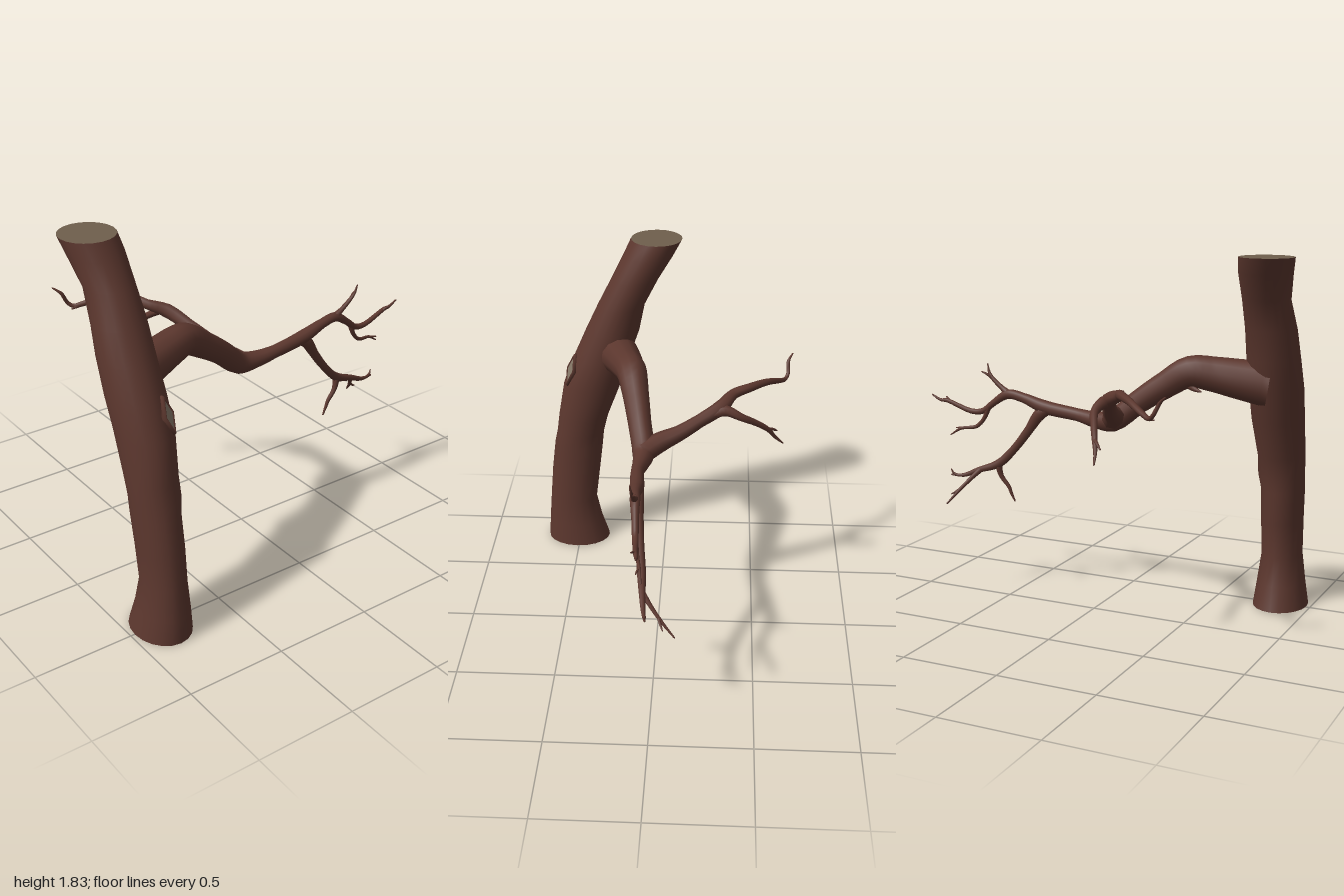
import * as THREE from 'three';

const bark = new THREE.MeshStandardMaterial({ color: 0x5c372e });
bark.name = 'bark';
const wood = new THREE.MeshStandardMaterial({ color: 0x6f5f4d });
wood.name = 'cutWood';
const knotWood = new THREE.MeshStandardMaterial({ color: 0x857767 });
knotWood.name = 'knotWood';

// Trunk sections: y, xMin, xMax, zMin, zMax
const SECTIONS = [
  [0, -0.98, -0.70, 0.33, 0.685],
  [0.12, -0.957, -0.713, 0.368, 0.677],
  [0.27, -0.935, -0.73, 0.40, 0.665],
  [0.45, -0.94, -0.728, 0.378, 0.65],
  [0.62, -0.948, -0.73, 0.358, 0.63],
  [0.70, -0.95, -0.716, 0.35, 0.613],
  [0.80, -0.955, -0.718, 0.325, 0.60],
  [1.00, -0.96, -0.70, 0.25, 0.565],
  [1.16, -0.97, -0.70, 0.20, 0.505],
  [1.32, -0.968, -0.705, 0.145, 0.435],
  [1.47, -0.963, -0.71, 0.115, 0.365],
  [1.62, -0.95, -0.718, 0.04, 0.29],
  [1.75, -0.98, -0.722, -0.04, 0.225],
  [1.83, -1.0, -0.735, -0.085, 0.187],
];
const SIDES = 20;

// Interpolated trunk section at a given height
function section(y) {
  let i = 0;
  while (i < SECTIONS.length - 2 && SECTIONS[i + 1][0] < y) i++;
  const a = SECTIONS[i], b = SECTIONS[i + 1];
  const t = (y - a[0]) / (b[0] - a[0]);
  const [, x0, x1, z0, z1] = a.map((v, k) => v + (b[k] - v) * t);
  return { cx: (x0 + x1) / 2, cz: (z0 + z1) / 2, rx: (x1 - x0) / 2, rz: (z1 - z0) / 2 };
}

function trunkPoint(y, angle) {
  const s = section(y);
  return new THREE.Vector3(s.cx + s.rx * Math.sin(angle), y, s.cz + s.rz * Math.cos(angle));
}

// Smooth skin over equal-sized rings of points, with an optional pointed tip
function skin(name, rings, tip) {
  const n = rings[0].length, pos = [], index = [];
  rings.forEach((ring) => ring.forEach((p) => pos.push(p.x, p.y, p.z)));
  for (let i = 0; i < rings.length - 1; i++) {
    for (let j = 0; j < n; j++) {
      const a = i * n + j, b = i * n + (j + 1) % n;
      index.push(a, b, b + n, a, b + n, a + n);
    }
  }
  if (tip) {
    const last = (rings.length - 1) * n;
    pos.push(tip.x, tip.y, tip.z);
    for (let j = 0; j < n; j++) index.push(last + j, last + (j + 1) % n, rings.length * n);
  }
  const geo = new THREE.BufferGeometry();
  geo.setAttribute('position', new THREE.Float32BufferAttribute(pos, 3));
  geo.setIndex(index);
  geo.computeVertexNormals();
  const mesh = new THREE.Mesh(geo, bark);
  mesh.name = name;
  return mesh;
}

// Tapered limb through points [x, y, z, radius]
function limb(name, pts, sides = 8) {
  const curve = new THREE.CatmullRomCurve3(pts.map((p) => new THREE.Vector3(p[0], p[1], p[2])));
  const steps = (pts.length - 1) * 4, rings = [];
  const normal = new THREE.Vector3(0.1, 0.3, 1);
  let end;
  for (let i = 0; i <= steps; i++) {
    const t = i / steps, c = curve.getPoint(t), dir = curve.getTangent(t);
    normal.addScaledVector(dir, -normal.dot(dir)).normalize();
    const side = new THREE.Vector3().crossVectors(dir, normal);
    const k = Math.min(Math.floor(i / 4), pts.length - 2), f = i / 4 - k;
    const r = pts[k][3] * (1 - f) + pts[k + 1][3] * f;
    const ring = [];
    for (let j = 0; j < sides; j++) {
      const a = (j / sides) * Math.PI * 2;
      ring.push(c.clone().addScaledVector(normal, r * Math.cos(a)).addScaledVector(side, r * Math.sin(a)));
    }
    rings.push(ring);
    end = c.clone().addScaledVector(dir, r);
  }
  return skin(name, rings, end);
}

// Flat disc fitted to a trunk section
function cap(name, y, up, scale, material, lift = 0) {
  const s = section(y);
  const geo = new THREE.CircleGeometry(1, SIDES).rotateX(up ? -Math.PI / 2 : Math.PI / 2);
  const mesh = new THREE.Mesh(geo, material);
  mesh.name = name;
  mesh.scale.set(s.rx * scale, 1, s.rz * scale);
  mesh.position.set(s.cx, y + lift, s.cz);
  return mesh;
}

// Diamond-shaped knot lying on the bark
function knot() {
  const y = 1.1, angle = 0.47, e = 0.02;
  const p = trunkPoint(y, angle);
  const du = trunkPoint(y, angle + e).sub(p), dv = trunkPoint(y + e, angle).sub(p);
  const out = du.cross(dv).negate().normalize();
  if (out.z < 0) out.negate();
  const group = new THREE.Group();
  group.name = 'knot';
  const rim = new THREE.Mesh(new THREE.TorusGeometry(1, 0.16, 6, 4), bark);
  rim.name = 'knotRim';
  rim.scale.set(0.034, 0.084, 0.09);
  const face = new THREE.Mesh(new THREE.CircleGeometry(1, 4), knotWood);
  face.name = 'knotFace';
  face.scale.set(0.032, 0.08, 1);
  face.position.z = 0.008;
  group.add(rim, face);
  group.position.copy(p).addScaledVector(out, 0.004);
  group.lookAt(p.clone().add(out));
  return group;
}

export function createModel() {
  const model = new THREE.Group();
  model.name = 'bareTree';

  // Trunk with cut ends
  const rings = SECTIONS.map(([y]) =>
    Array.from({ length: SIDES }, (_, j) => trunkPoint(y, (j / SIDES) * Math.PI * 2)));
  model.add(
    skin('trunk', rings),
    cap('trunkTopCut', 1.83, true, 1, wood),
    cap('trunkBase', 0, false, 1, bark),
    cap('trunkBaseHeart', 0, false, 0.6, wood, -0.002),
    knot(),
  );

  // Main branch
  model.add(limb('mainBranch', [
    [-0.82, 1.195, 0.27, 0.115], [-0.69, 1.215, 0.228, 0.1], [-0.57, 1.235, 0.195, 0.088],
    [-0.45, 1.245, 0.16, 0.079], [-0.33, 1.175, 0.132, 0.068], [-0.2, 1.085, 0.105, 0.06],
    [-0.07, 0.982, 0.078, 0.057], [0.03, 0.975, 0.085, 0.043], [0.14, 0.99, 0.095, 0.033],
    [0.33, 1.017, 0.085, 0.036], [0.45, 1.055, 0.083, 0.026], [0.54, 1.068, 0.08, 0.025],
    [0.62, 1.02, 0.075, 0.018], [0.69, 0.968, 0.07, 0.016], [0.76, 0.963, 0.065, 0.014],
    [0.9, 1.01, 0.055, 0.011], [0.94, 1.012, 0.05, 0.008], [0.99, 1.037, 0.048, 0.004],
  ], 12));

  // Side limbs and twigs
  const limbs = {
    upperTwig: [[0.53, 1.065, 0.08, 0.022], [0.58, 1.1, 0.083, 0.013], [0.64, 1.15, 0.085, 0.01],
      [0.66, 1.18, 0.09, 0.007], [0.67, 1.22, 0.095, 0.003]],
    upperTwigFork: [[0.63, 1.14, 0.085, 0.008], [0.66, 1.165, 0.075, 0.007], [0.69, 1.18, 0.065, 0.003]],
    middleTwig: [[0.655, 0.99, 0.07, 0.015], [0.68, 0.93, 0.067, 0.011], [0.725, 0.883, 0.06, 0.01],
      [0.81, 0.868, 0.045, 0.008], [0.87, 0.83, 0.035, 0.003]],
    middleTwigFork: [[0.8, 0.87, 0.047, 0.007], [0.83, 0.868, 0.055, 0.005], [0.85, 0.865, 0.06, 0.003]],
    tipTwig: [[0.88, 1.0, 0.055, 0.009], [0.9, 1.018, 0.065, 0.006], [0.92, 1.028, 0.075, 0.003]],
    lowerBranch: [[0.3, 1.012, 0.085, 0.03], [0.355, 0.975, 0.08, 0.032], [0.41, 0.895, 0.072, 0.024],
      [0.49, 0.79, 0.062, 0.021], [0.585, 0.697, 0.05, 0.023], [0.7, 0.653, 0.04, 0.016],
      [0.79, 0.617, 0.03, 0.011], [0.86, 0.615, 0.02, 0.005]],
    lowerBranchFork: [[0.82, 0.612, 0.026, 0.008], [0.85, 0.625, 0.02, 0.006], [0.86, 0.645, 0.016, 0.003]],
    lowerTwig: [[0.59, 0.7, 0.05, 0.02], [0.573, 0.63, 0.055, 0.013], [0.53, 0.575, 0.058, 0.01],
      [0.515, 0.54, 0.058, 0.008], [0.495, 0.5, 0.06, 0.004]],
    backTwig: [[0.69, 0.657, 0.04, 0.015], [0.73, 0.61, 0, 0.011], [0.77, 0.555, -0.05, 0.009],
      [0.81, 0.49, -0.115, 0.004]],
    backTwigFork: [[0.765, 0.565, -0.04, 0.008], [0.79, 0.545, -0.05, 0.006], [0.815, 0.53, -0.06, 0.003]],
    rearBranch: [[-0.06, 0.985, 0.08, 0.055], [-0.11, 1.02, 0.0, 0.052], [-0.14, 1.06, -0.1, 0.04],
      [-0.18, 1.11, -0.2, 0.034], [-0.235, 1.165, -0.31, 0.038], [-0.315, 1.2, -0.37, 0.027],
      [-0.355, 1.218, -0.45, 0.023], [-0.44, 1.212, -0.54, 0.018], [-0.54, 1.175, -0.615, 0.014],
      [-0.585, 1.163, -0.645, 0.011], [-0.61, 1.185, -0.66, 0.01], [-0.64, 1.24, -0.66, 0.009],
      [-0.675, 1.27, -0.683, 0.004]],
    rearBranchTwig: [[-0.54, 1.175, -0.615, 0.011], [-0.57, 1.16, -0.63, 0.008], [-0.6, 1.155, -0.63, 0.004]],
    rearLowerBranch: [[-0.2, 1.135, -0.25, 0.03], [-0.215, 1.155, -0.33, 0.03], [-0.205, 1.125, -0.41, 0.021],
      [-0.24, 1.075, -0.49, 0.017], [-0.275, 1.02, -0.555, 0.013], [-0.295, 0.97, -0.59, 0.009],
      [-0.31, 0.925, -0.635, 0.004]],
    rearLowerTwig: [[-0.27, 1.025, -0.55, 0.011], [-0.3, 1.01, -0.58, 0.008], [-0.325, 0.99, -0.6, 0.004]],
  };
  for (const [name, pts] of Object.entries(limbs)) model.add(limb(name, pts));

  // Short stub under the main branch
  model.add(limb('branchStub', [[-0.44, 1.19, 0.15, 0.025], [-0.48, 1.165, 0.14, 0.014], [-0.52, 1.155, 0.13, 0.005]]));
  return model;
}
